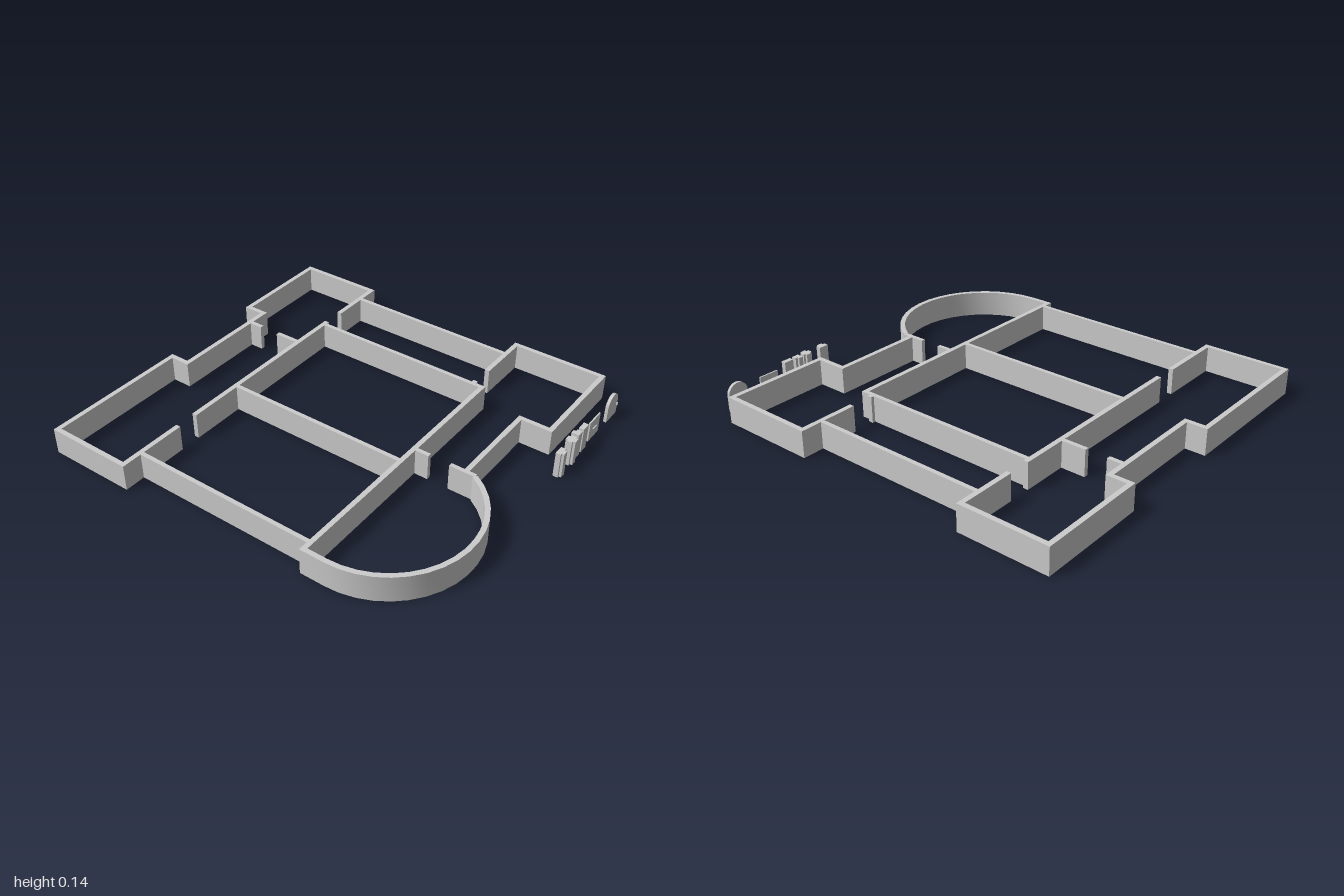
import * as THREE from 'three';
import { toCreasedNormals } from 'three/addons/utils/BufferGeometryUtils.js';

const H = 0.135;   // wall height
const T = 0.025;   // outer wall thickness
const material = new THREE.MeshStandardMaterial({ color: 0xcccccc, side: THREE.DoubleSide });

// Extrude a plan outline of [x, z] points straight up.
function prism(name, outline, height = H) {
  const shape = new THREE.Shape(outline.map(([x, z]) => new THREE.Vector2(x, -z)));
  const geo = new THREE.ExtrudeGeometry(shape, { depth: height, bevelEnabled: false });
  geo.rotateX(-Math.PI / 2);
  const mesh = new THREE.Mesh(toCreasedNormals(geo, Math.PI / 7), material);
  mesh.name = name;
  return mesh;
}

// Wall of constant thickness along a plan centreline, with mitred corners.
function wall(name, path, t = T) {
  const pts = path.map(([x, z]) => new THREE.Vector2(x, z));
  const normal = (a, b) => new THREE.Vector2(a.y - b.y, b.x - a.x).normalize();
  const side = (s) => pts.map((p, i) => {
    const n1 = normal(pts[Math.max(i - 1, 0)], pts[Math.max(i, 1)]);
    const last = pts.length - 1;
    const n2 = normal(pts[Math.min(i, last - 1)], pts[Math.min(i + 1, last)]);
    const m = n1.clone().add(n2).normalize();
    const q = p.clone().addScaledVector(m, s * t / 2 / m.dot(n1));
    return [q.x, q.y];
  });
  return prism(name, [...side(1), ...side(-1).reverse()]);
}

const rect = (x0, x1, z0, z1) => [[x0, z0], [x1, z0], [x1, z1], [x0, z1]];

// Plan outline of a cross: wide bar through a narrower stem.
const cross = (x0, x1, zb0, zb1, s0, s1, zs0, zs1) => [
  [s0, zs0], [s1, zs0], [s1, zb0], [x1, zb0], [x1, zb1], [s1, zb1],
  [s1, zs1], [s0, zs1], [s0, zb1], [x0, zb1], [x0, zb0], [s0, zb0],
];

function box(name, w, h, d, x, y, z) {
  const mesh = new THREE.Mesh(new THREE.BoxGeometry(w, h, d), material);
  mesh.position.set(x, y, z);
  mesh.name = name;
  return mesh;
}

function createWalls() {
  const g = new THREE.Group();
  g.name = 'walls';

  // Rear wing: one outline with a recessed middle, open at two doorways
  g.add(wall('rearWingWall', [
    [-0.6, -0.553], [-0.953, -0.553], [-0.953, -0.987], [-0.19, -0.987], [-0.19, -0.883],
    [0.409, -0.883], [0.409, -0.987], [0.953, -0.987], [0.953, -0.553], [0.655, -0.553],
  ]));
  g.add(wall('rearInnerWall', [[-0.49, -0.553], [0.544, -0.553]]));
  g.add(wall('rearPartitionShort', [[0.298, -0.871], [0.298, -0.8]], 0.023));
  g.add(wall('rearPartitionLong', [[0.298, -0.69], [0.298, -0.565]], 0.023));

  // Long walls running from rear to front
  for (const [name, x, end] of [['leftLongWall', 0.844, 0.363], ['rightLongWall', -0.846, 0.417],
    ['middleLongWall', -0.191, 0.417], ['corridorWall', 0.517, 0.441]]) {
    g.add(wall(name, [[x, -0.541], [x, end]], 0.022));
  }

  // Front cross wall and door stub
  g.add(wall('frontCrossWall', [[-0.907, 0.429], [0.528, 0.429]]));
  g.add(prism('corridorDoorStub', rect(0.528, 0.544, 0.363, 0.388)));
  g.add(wall('frontPartitionStub', [[-0.082, 0.441], [-0.082, 0.512]], 0.022));
  g.add(wall('frontPartition', [[-0.082, 0.622], [-0.082, 0.755]], 0.022));

  // Front wing outline
  g.add(wall('frontWingWall', [
    [0.655, 0.375], [0.953, 0.375], [0.953, 0.864], [0.409, 0.864], [0.409, 0.703], [-0.082, 0.703],
  ]));

  // Rounded bay: straight start, then a round sweep to the partition
  const bay = [[-0.895, 0.417]];
  const steps = 16;
  for (let i = 0; i <= steps; i++) {
    const a = Math.PI * (1 - (i / steps) * 0.835);
    bay.push([-0.463 + 0.432 * Math.cos(a), 0.54 + 0.432 * Math.sin(a)]);
  }
  g.add(wall('roundBayWall', bay));
  return g;
}

function createLooseParts() {
  const g = new THREE.Group();
  g.name = 'looseParts';

  // Wall connector posts
  g.add(prism('teePost', [
    [0.272, 0.962], [0.325, 0.962], [0.325, 0.988], [0.312, 0.988],
    [0.312, 1.0], [0.283, 1.0], [0.283, 0.988], [0.272, 0.988],
  ]));
  g.add(prism('crossPost', cross(0.381, 0.433, 0.962, 0.988, 0.393, 0.422, 0.95, 1.0)));
  g.add(prism('cornerPost', [
    [0.449, 0.95], [0.473, 0.95], [0.473, 0.962], [0.486, 0.962], [0.486, 0.989], [0.449, 0.989],
  ]));
  g.add(prism('straightPost', rect(0.502, 0.554, 0.962, 0.988)));

  // Square door panel with small knobs on both faces
  const square = new THREE.Group();
  square.name = 'squareDoor';
  square.add(box('squareDoorPanel', 0.108, 0.108, 0.008, 0.651, 0.054, 0.975));
  for (let i = 0; i < 4; i++) {
    square.add(box('squareDoorKnob', 0.005, 0.005, 0.02, 0.636 + i * 0.01, 0.057, 0.975));
  }
  g.add(square);

  // Arched door panel with a handle
  const r = 0.054;
  const arch = new THREE.Shape();
  arch.moveTo(-r, 0);
  arch.lineTo(r, 0);
  arch.lineTo(r, H - r);
  arch.absarc(0, H - r, r, 0, Math.PI, false);
  arch.closePath();
  const geo = new THREE.ExtrudeGeometry(arch, { depth: 0.016, bevelEnabled: false, curveSegments: 16 });
  const panel = new THREE.Mesh(toCreasedNormals(geo, Math.PI / 7), material);
  panel.name = 'archedDoorPanel';
  panel.position.set(0.842, 0, 0.967);
  const archedDoor = new THREE.Group();
  archedDoor.name = 'archedDoor';
  archedDoor.add(panel, box('archedDoorHandle', 0.008, 0.016, 0.03, 0.885, 0.06, 0.975));
  g.add(archedDoor);
  return g;
}

export function createModel() {
  const model = new THREE.Group();
  model.name = 'floorPlan';
  model.add(createWalls(), createLooseParts());
  return model;
}
